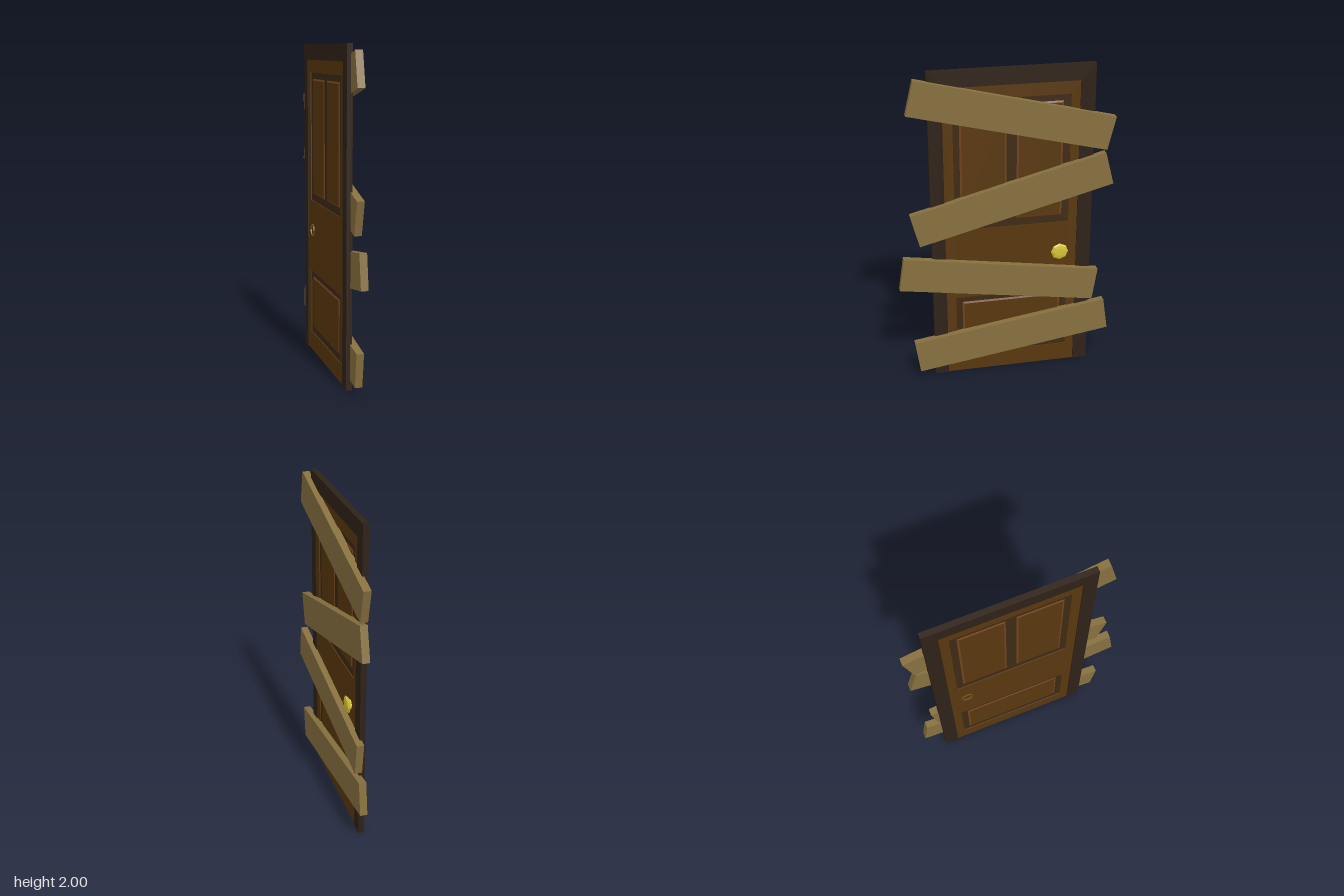
import * as THREE from 'three';

const mat = (color, side = THREE.FrontSide) =>
  new THREE.MeshStandardMaterial({ color, side, flatShading: true });
const frameMat = mat(0x2f2217);
const doorMat = mat(0x59380f);
const trimMat = mat(0x3f2a15);
const rimMat = mat(0x74451f);
const plankMat = mat(0x87703f);
const brassMat = mat(0xd6c437);
const shaftMat = mat(0x6b5a18, THREE.DoubleSide);

// Door leaf faces, and the middle of its thickness
const FRONT = -0.006, BACK = -0.029, MID = (FRONT + BACK) / 2;

function add(parent, name, geometry, material) {
  const mesh = new THREE.Mesh(geometry, material);
  mesh.name = name;
  parent.add(mesh);
  return mesh;
}

// Rectangle outline in the door plane: [z0, z1, y0, y1]
function rectPoints([z0, z1, y0, y1]) {
  return [[z0, y0], [z1, y0], [z1, y1], [z0, y1]].map(p => new THREE.Vector2(...p));
}

// Extrude a (z, y) shape through the thickness, from xFront back to xBack
function slab(shape, xFront, xBack) {
  const geo = new THREE.ExtrudeGeometry(shape, { depth: xFront - xBack, bevelEnabled: false });
  return geo.rotateY(-Math.PI / 2).translate(xFront, 0, 0);
}

// Panel raised on both faces, with sloping edges
function raisedPanel([z0, z1, y0, y1], slope) {
  const w = z1 - z0, h = y1 - y0, bottom = MID, group = new THREE.Group();
  for (const side of [1, -1]) {
    const geo = new THREE.BoxGeometry(0.009, h, w);
    const p = geo.attributes.position;
    for (let i = 0; i < p.count; i++) {
      if (p.getX(i) * side > 0) {
        p.setY(i, p.getY(i) * (1 - 2 * slope / h));
        p.setZ(i, p.getZ(i) * (1 - 2 * slope / w));
      }
    }
    geo.computeVertexNormals();
    const mats = [doorMat, doorMat, rimMat, rimMat, rimMat, rimMat];
    add(group, 'raisedPanelFace', geo, mats)
      .position.set(bottom + side * 0.0055, (y0 + y1) / 2, (z0 + z1) / 2);
  }
  group.name = 'raisedPanel';
  return group;
}

export function createModel() {
  const model = new THREE.Group();
  model.name = 'boardedDoor';

  // Frame: two jambs and a head, open at the floor
  const frame = new THREE.Shape([
    [-0.54, 0], [-0.45, 0], [-0.45, 1.9], [0.375, 1.9],
    [0.375, 0], [0.46, 0], [0.46, 2], [-0.54, 2],
  ].map(p => new THREE.Vector2(...p)));
  add(model, 'doorFrame', slab(frame, 0, -0.035), frameMat);

  // Door leaf with two recesses
  const door = new THREE.Group();
  door.name = 'door';
  model.add(door);
  const recesses = [[-0.395, 0.315, 1.0, 1.82], [-0.395, 0.315, 0.12, 0.535]];
  const leaf = new THREE.Shape(rectPoints([-0.45, 0.375, 0, 1.9]));
  for (const r of recesses) leaf.holes.push(new THREE.Path(rectPoints(r).reverse()));
  add(door, 'doorLeaf', slab(leaf, FRONT, BACK), doorMat);

  // Dark sunk moulding filling each recess
  for (const r of recesses) {
    add(door, 'moulding', slab(new THREE.Shape(rectPoints(r)), MID + 0.005, MID - 0.005), trimMat);
  }

  // Raised panels: two tall above, one wide below
  for (const r of [[-0.015, 0.285, 1.04, 1.79], [-0.36, -0.06, 1.04, 1.79], [-0.36, 0.285, 0.155, 0.508]]) {
    door.add(raisedPanel(r, 0.02));
  }

  // Knob on the boarded side
  const profile = [[0, 0], [0.03, 0], [0.03, 0.008], [0.045, 0.012], [0.055, 0.02], [0.045, 0.029], [0.025, 0.033], [0, 0.033]];
  const knob = new THREE.LatheGeometry(profile.map(p => new THREE.Vector2(...p)), 8);
  add(door, 'doorKnob', knob.rotateZ(-Math.PI / 2), brassMat).position.set(FRONT, 0.805, -0.34);

  // Open end of the knob shaft on the other side
  const shaft = new THREE.CylinderGeometry(0.04, 0.04, 0.012, 8, 1, true);
  add(door, 'knobShaft', shaft.rotateZ(-Math.PI / 2), shaftMat).position.set(-0.031, 0.81, -0.34);

  // Planks nailed across: [y, z, tilt in degrees]
  const planks = [[1.716, -0.038, -13.6], [1.19, -0.038, 14.7], [0.655, 0.041, -8.8], [0.244, -0.038, 8.4]];
  for (const [y, z, tilt] of planks) {
    const plank = add(model, 'plank', new THREE.BoxGeometry(0.045, 0.212, 1.24), plankMat);
    plank.position.set(0.0105, y, z);
    plank.rotation.x = THREE.MathUtils.degToRad(tilt);
  }
  return model;
}
